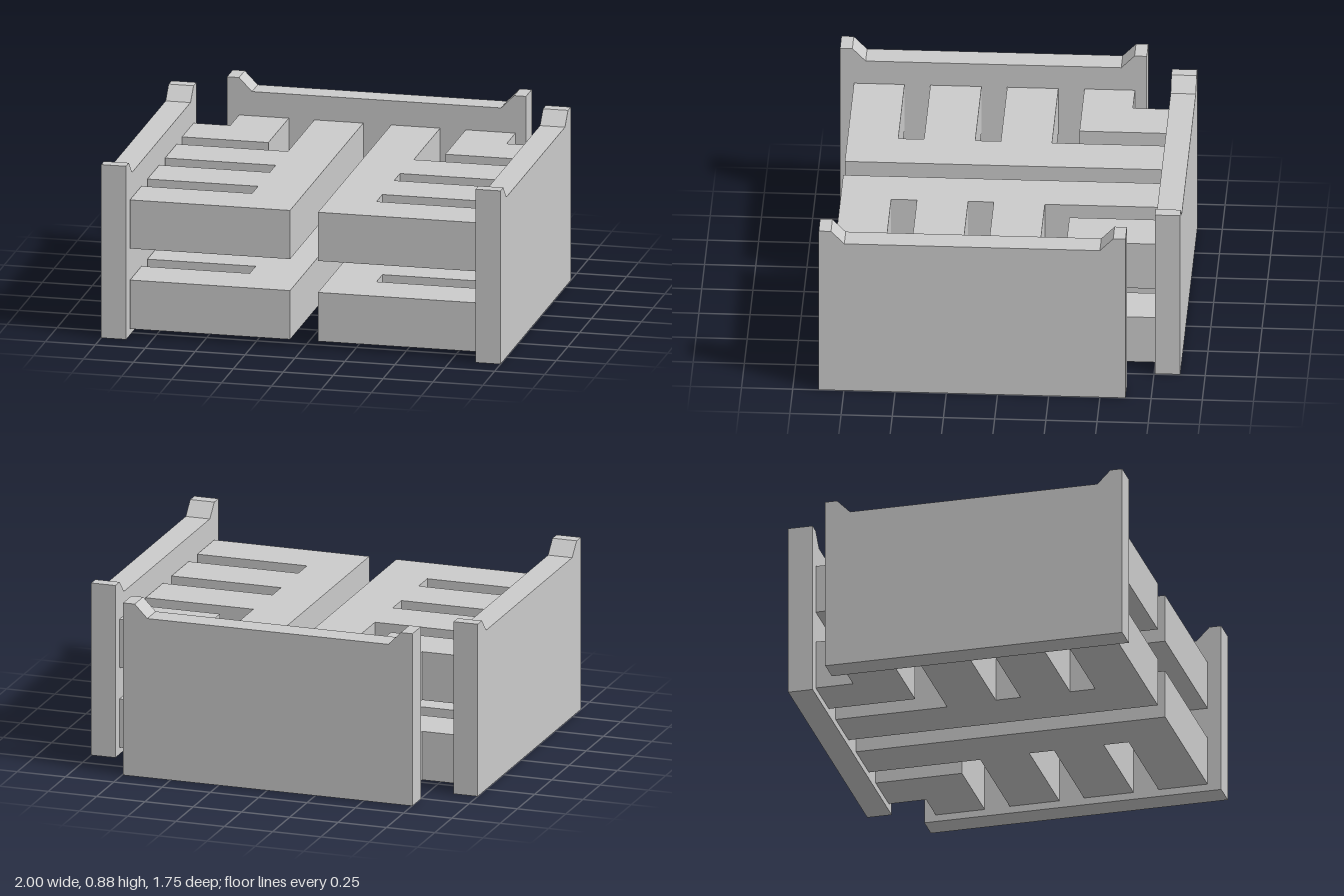
import * as THREE from 'three';

const material = new THREE.MeshStandardMaterial({ color: 0xcccccc, flatShading: true });

function extrude(points, depth) {
  const shape = new THREE.Shape(points.map(([x, y]) => new THREE.Vector2(x, y)));
  return new THREE.ExtrudeGeometry(shape, { depth, bevelEnabled: false });
}

function addPart(parent, name, geometry) {
  const mesh = new THREE.Mesh(geometry, material);
  mesh.name = name;
  parent.add(mesh);
}

// Upright wall outline from a to b, with a raised chamfered tab at each end
function wallOutline(a, b) {
  const high = 0.88, low = 0.813, tab = 0.06, slope = 0.125;
  return [[a, 0], [b, 0], [b, high], [b - tab, high], [b - slope, low],
    [a + slope, low], [a + tab, high], [a, high]];
}

// Flat plate from an (x, z) outline, spanning bottom..top in y
function plate(points, bottom, top) {
  return extrude(points, top - bottom).rotateX(Math.PI / 2).translate(0, top, 0);
}

// Spine with three teeth reaching the side wall
function combOutline(side, slotEnd) {
  return [[0.07, -0.755], [0.315, -0.755], [0.315, -0.193], [0.872, -0.193],
    [0.872, 0.057], [slotEnd, 0.057], [slotEnd, 0.182], [0.872, 0.182],
    [0.872, 0.432], [slotEnd, 0.432], [slotEnd, 0.558], [0.872, 0.558],
    [0.872, 0.805], [0.07, 0.805]].map(([x, z]) => [side * x, z]);
}

// L-shaped block joining the side wall to the back wall
function cornerOutline(side) {
  return [[0.443, -0.755], [0.692, -0.755], [0.692, -0.567], [0.875, -0.567],
    [0.875, -0.32], [0.443, -0.32]].map(([x, z]) => [side * x, z]);
}

export function createModel() {
  const model = new THREE.Group();
  model.name = 'slottedBox';

  // Back wall
  addPart(model, 'backWall', extrude(wallOutline(-0.752, 0.745), 0.123).translate(0, 0, -0.878));

  for (const side of [1, -1]) {
    const label = side > 0 ? 'left' : 'right';

    // Side wall, its outline running along z
    const wall = extrude(wallOutline(-0.873, 0.625), 0.125).rotateY(Math.PI / 2);
    wall.translate(side > 0 ? 0.875 : -1, 0, 0);
    addPart(model, label + 'Wall', wall);

    // Two stacked layers of comb and corner block
    [[0.035, 0.283], [0.443, 0.69]].forEach(([bottom, top], i) => {
      const layer = i ? 'Upper' : 'Lower';
      const slotEnd = side > 0 ? 0.305 : i ? 0.318 : 0.33;
      addPart(model, label + layer + 'Comb', plate(combOutline(side, slotEnd), bottom, top));
      addPart(model, label + layer + 'CornerBlock', plate(cornerOutline(side), bottom, top));
    });
  }
  return model;
}
